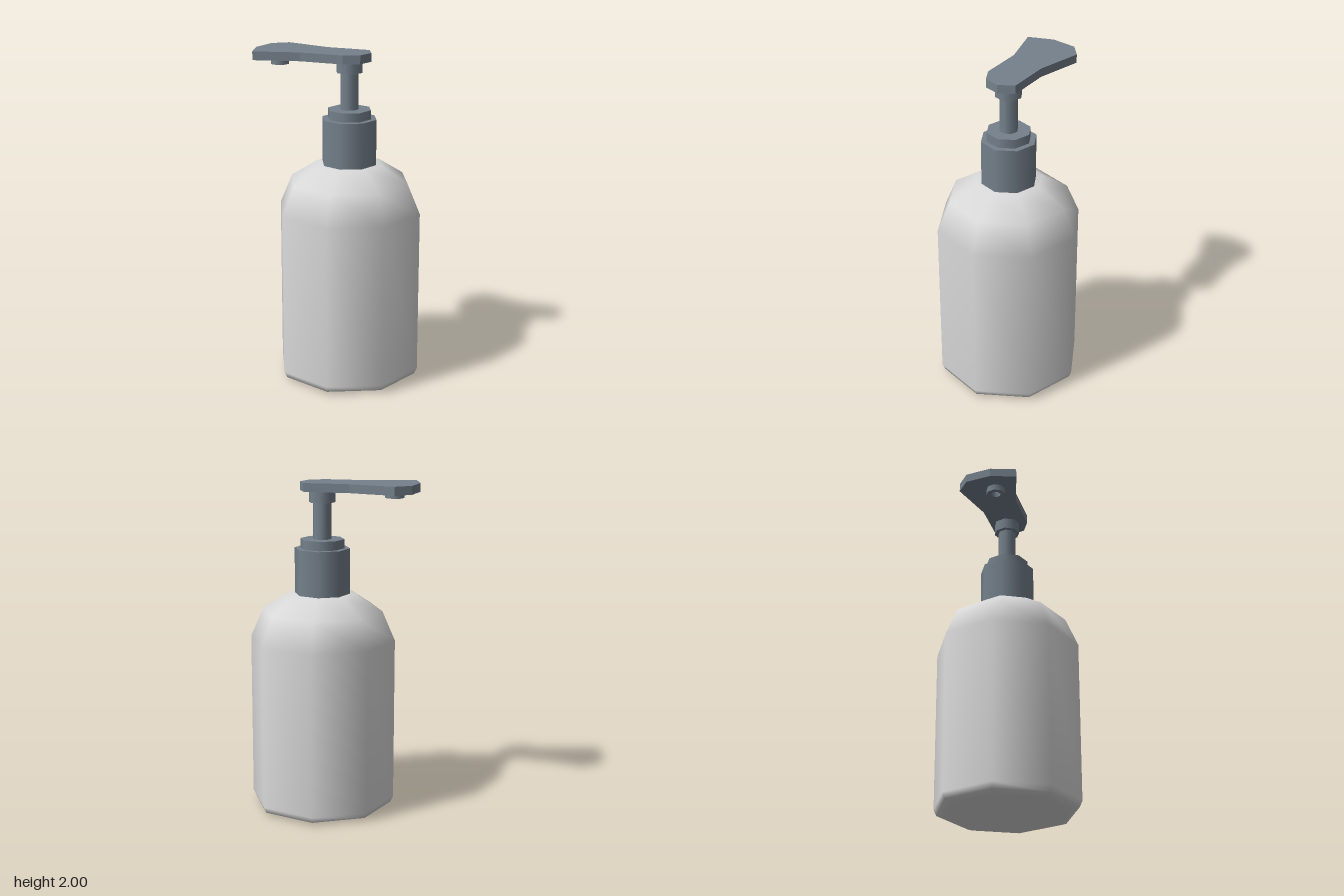
import * as THREE from 'three';
import { toCreasedNormals } from 'three/addons/utils/BufferGeometryUtils.js';

const SIDES = 8;
const AXIS = 0.07; // x of the bottle's centre line

export function createModel() {
  const model = new THREE.Group();
  model.name = 'soapDispenser';

  const bottleMat = new THREE.MeshStandardMaterial({ color: 0xd9d9d9 });
  bottleMat.name = 'paleGreyBottle';
  const pumpMat = new THREE.MeshStandardMaterial({ color: 0x75818c });
  pumpMat.name = 'slateGreyPump';

  const add = (name, geometry, material, x, y, z = 0) => {
    const mesh = new THREE.Mesh(geometry, material);
    mesh.name = name;
    mesh.position.set(x, y, z);
    model.add(mesh);
  };
  const lathe = (profile) =>
    new THREE.LatheGeometry(profile.map(([r, y]) => new THREE.Vector2(r, y)), SIDES);

  // Smooth eight-sided bottle with a small base bevel and sloped shoulders
  add('bottle', lathe([
    [0, 0.003], [0.375, 0], [0.425, 0.018], [0.442, 0.055],
    [0.442, 1.05], [0.365, 1.228], [0.205, 1.33], [0, 1.33],
  ]), bottleMat, AXIS, 0);

  // Stacked pump cylinders: name, radius, bottom, top
  const stack = [
    ['collar', 0.168, 1.325, 1.605],
    ['collarRing', 0.133, 1.6, 1.66],
    ['stem', 0.055, 1.655, 1.89],
    ['headSocket', 0.08, 1.88, 1.95],
  ];
  for (const [name, r, y0, y1] of stack) {
    add(name, new THREE.CylinderGeometry(r, r, y1 - y0, SIDES), pumpMat, AXIS, (y0 + y1) / 2);
  }

  // Flat pump head, outlined in x and z
  const outline = [
    [-0.512, 0.01], [-0.475, -0.145], [-0.38, -0.208], [-0.105, -0.115], [0.165, -0.095],
    [0.203, 0], [0.165, 0.094], [0.07, 0.132], [-0.2, 0.112], [-0.475, 0.165],
  ];
  const headShape = new THREE.Shape(outline.map(([x, z]) => new THREE.Vector2(x, z)));
  const head = new THREE.ExtrudeGeometry(headShape, { depth: 0.052, bevelEnabled: false });
  head.rotateX(Math.PI / 2);
  add('pumpHead', head, pumpMat, 0, 2);

  // Hollow spout under the far end of the head
  const spout = lathe([[0.03, 0], [0.058, 0], [0.058, 0.045], [0.03, 0.045], [0.03, 0]]);
  add('spout', toCreasedNormals(spout, 0.9), pumpMat, -0.36, 1.91, 0.015);

  return model;
}
